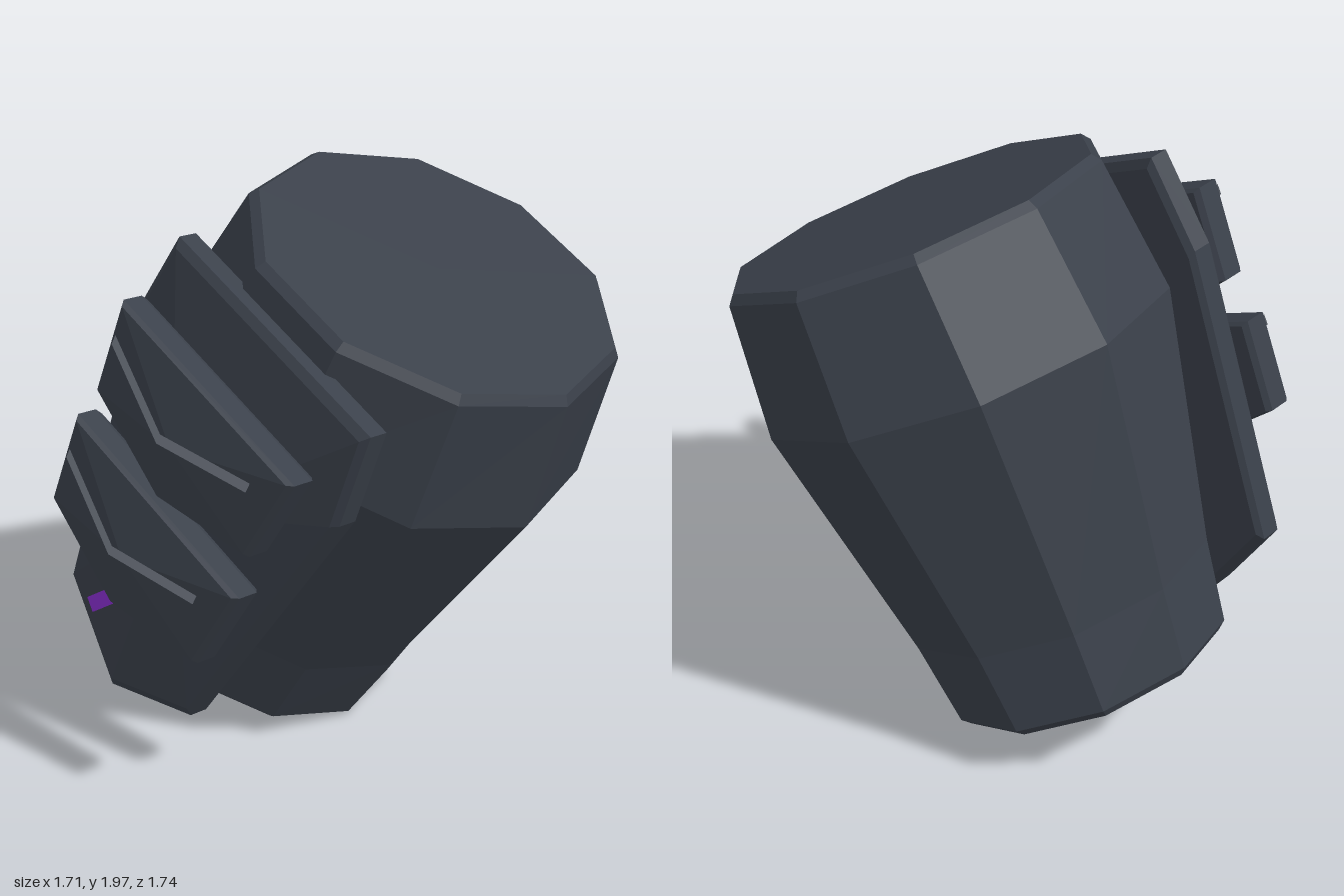
import * as THREE from 'three';

// Joins rings of points into a closed faceted solid; rings run counter-clockwise seen from the last one.
function loft(rings, startCentre, endCentre) {
  const pos = [];
  const tri = (a, b, c) => pos.push(...a, ...b, ...c);
  const n = rings[0].length;
  const last = rings[rings.length - 1];
  for (let i = 0; i < n; i++) {
    const j = (i + 1) % n;
    for (let k = 0; k + 1 < rings.length; k++) {
      const a = rings[k], b = rings[k + 1];
      tri(a[i], a[j], b[j]);
      tri(a[i], b[j], b[i]);
    }
    tri(rings[0][j], rings[0][i], startCentre);
    tri(last[i], last[j], endCentre);
  }
  const g = new THREE.BufferGeometry();
  g.setAttribute('position', new THREE.Float32BufferAttribute(pos, 3));
  g.computeVertexNormals();
  return g;
}

// Bevelled symmetric slab with a slightly raised centre. half: right side, bottom to top.
function slab(tip, half, centreY, back, front, peak) {
  const mirrored = half.map(([x, y]) => [-x, y]).reverse();
  const outline = [[0, tip], ...half, ...mirrored];
  const ring = (s, z) => outline.map(([x, y]) => [x * s, centreY + (y - centreY) * s, z]);
  const bevel = 0.018;
  return loft(
    [ring(0.96, back), ring(1, back + bevel), ring(1, front - bevel), ring(0.96, front)],
    [0, centreY, back], [0, centreY, peak]);
}

// Thin ribbon through points, widened along the given direction.
function ribbon(points, wx, wy) {
  const pos = [];
  for (let i = 0; i + 1 < points.length; i++) {
    const [a, b] = [points[i], points[i + 1]];
    const off = ([x, y, z], s) => [x + s * wx / 2, y + s * wy / 2, z];
    pos.push(...off(a, -1), ...off(b, -1), ...off(b, 1));
    pos.push(...off(a, -1), ...off(b, 1), ...off(a, 1));
  }
  const g = new THREE.BufferGeometry();
  g.setAttribute('position', new THREE.Float32BufferAttribute(pos, 3));
  g.computeVertexNormals();
  return g;
}

export function createModel() {
  const armour = new THREE.MeshStandardMaterial({ color: 0x3a404a, flatShading: true });
  armour.name = 'dark slate armour';
  const trim = new THREE.MeshStandardMaterial({ color: 0x7a818d, side: THREE.DoubleSide });
  trim.name = 'grey trim';
  const glow = new THREE.MeshStandardMaterial({ color: 0x8a2fd0, side: THREE.DoubleSide });
  glow.name = 'purple line';

  const model = new THREE.Group();
  model.name = 'limbArmour';

  // Tilted frame: y runs along the limb, z out of the front plate
  const frame = new THREE.Group();
  frame.name = 'tiltedFrame';
  const Y = new THREE.Vector3(0.406, 0.908, -0.1).normalize();
  const Z = new THREE.Vector3().crossVectors(new THREE.Vector3(0.912, -0.41, 0.04), Y).normalize();
  const X = new THREE.Vector3().crossVectors(Y, Z);
  frame.quaternion.setFromRotationMatrix(new THREE.Matrix4().makeBasis(X, Y, Z));
  frame.position.set(-0.415, 0.205, -0.07);
  model.add(frame);

  const add = (name, geometry, material, y = 0) => {
    const mesh = new THREE.Mesh(geometry, material);
    mesh.name = name;
    mesh.position.y = y;
    frame.add(mesh);
  };

  // Ten-sided limb shell: height, radius, depth scale
  const sides = 10;
  const profile = [
    [0, 0.47, 1], [0.03, 0.5, 1], [0.33, 0.548, 0.98],
    [1.2, 0.735, 0.965], [1.655, 0.65, 1.03], [1.685, 0.625, 1.03],
  ];
  const shell = profile.map(([y, r, d]) => Array.from({ length: sides }, (_, i) => {
    const a = i / sides * Math.PI * 2;
    return [r * Math.cos(a), y, -r * d * Math.sin(a)];
  }));
  add('limbShell', loft(shell, [0, 0, 0], [0, 1.685, 0]), armour);

  // Large front plate
  add('frontPlate', slab(-0.055, [[0.347, 0.155], [0.525, 1.236], [0.48, 1.57]],
    0.82, 0.605, 0.71, 0.785), armour);

  // Two raised panels with floating chevrons
  [['upper', 0], ['lower', -0.49]].forEach(([side, y]) => {
    add(side + 'Panel', slab(0.93, [[0.402, 1.05], [0.437, 1.387]],
      1.16, 0.79, 0.9, 0.94), armour, y);
    add(side + 'Chevron', ribbon([[-0.345, 1.32, 0.967], [0, 1.22, 1.01], [0.345, 1.32, 0.967]],
      0, 0.038), trim, y);
  });

  // Purple lines emerging from behind the panels
  add('upperLine', ribbon([[-0.014, 0.85, 0.83], [-0.014, 0.97, 0.83]], 0.058, 0), glow);
  add('lowerLine', ribbon([[-0.135, 0.262, 0.815], [0, 0.485, 0.83]], 0.046, -0.028), glow);

  return model;
}
